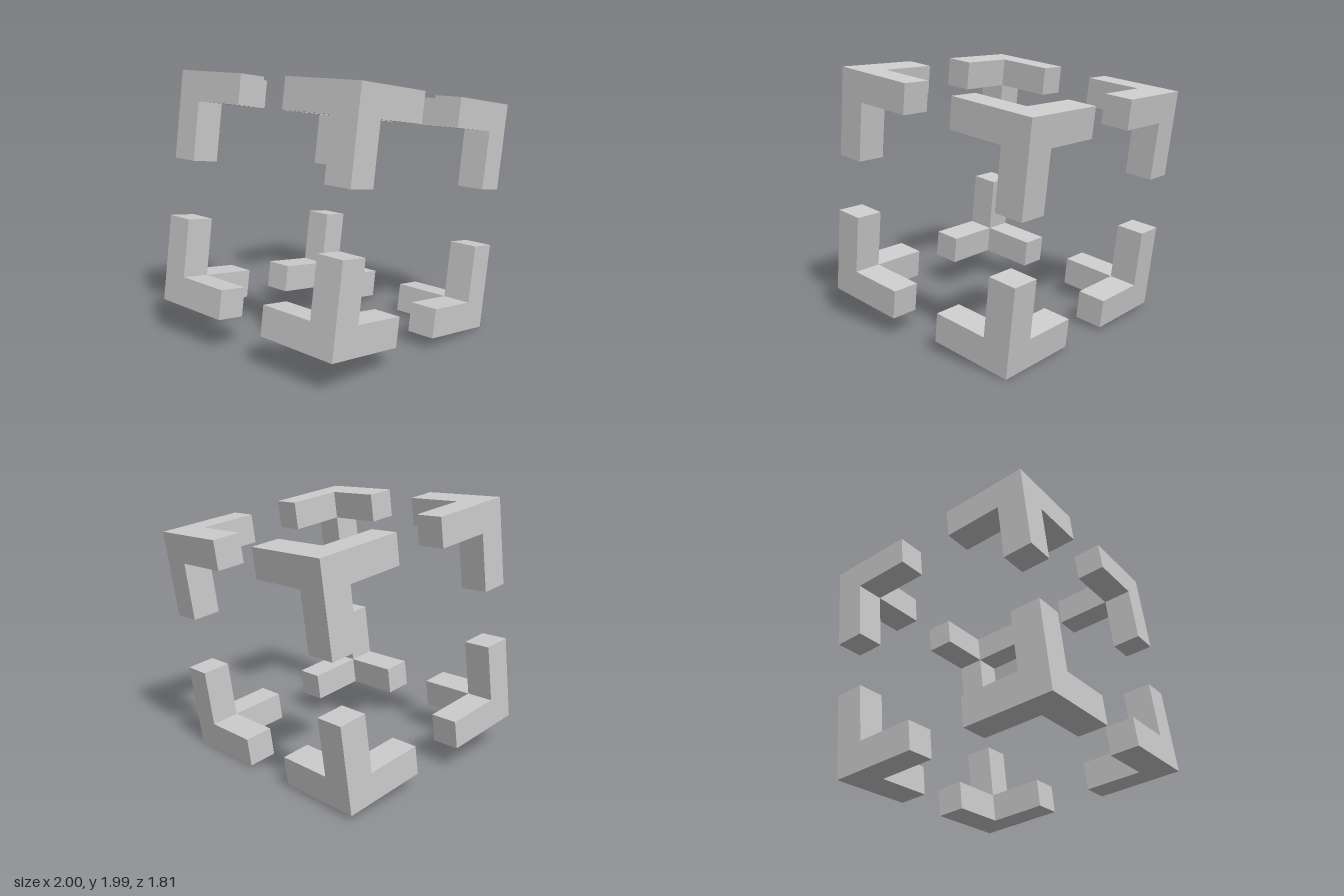
import * as THREE from 'three';

const UNIT = 0.218; // bar thickness; the whole cube is 8 units wide
const HALF = 4 * UNIT;
const ARM = 3 * UNIT;

const material = new THREE.MeshStandardMaterial({ color: 0xcccccc, flatShading: true });

// One bar of a bracket, spanning the given size inward from the cube corner
function bar(name, size, start, sign) {
  const mesh = new THREE.Mesh(new THREE.BoxGeometry(...size), material);
  mesh.name = name;
  mesh.position.set(...sign.map((s, i) => s * (HALF - start[i] - size[i] / 2)));
  return mesh;
}

// Three square bars meeting at one corner of the cube
function cornerBracket(sx, sy, sz) {
  const sign = [sx, sy, sz];
  const bracket = new THREE.Group();
  bracket.name = `${sy > 0 ? 'upper' : 'lower'}${sz > 0 ? 'Front' : 'Back'}${sx > 0 ? 'Left' : 'Right'}Bracket`;
  bracket.add(
    bar('uprightBar', [UNIT, ARM, UNIT], [0, 0, 0], sign),
    bar('sidewaysBar', [ARM - UNIT, UNIT, UNIT], [UNIT, 0, 0], sign),
    bar('depthBar', [UNIT, UNIT, ARM - UNIT], [0, 0, UNIT], sign)
  );
  return bracket;
}

export function createModel() {
  const model = new THREE.Group();
  model.name = 'cornerCube';

  // Slightly tilted cube outlined by its eight corner brackets
  const cube = new THREE.Group();
  cube.name = 'cornerBrackets';
  for (const sx of [-1, 1])
    for (const sy of [-1, 1])
      for (const sz of [-1, 1]) cube.add(cornerBracket(sx, sy, sz));

  cube.rotation.set(0.02, 0.021, -0.1324);
  cube.position.y = 0.997;
  model.add(cube);
  return model;
}
